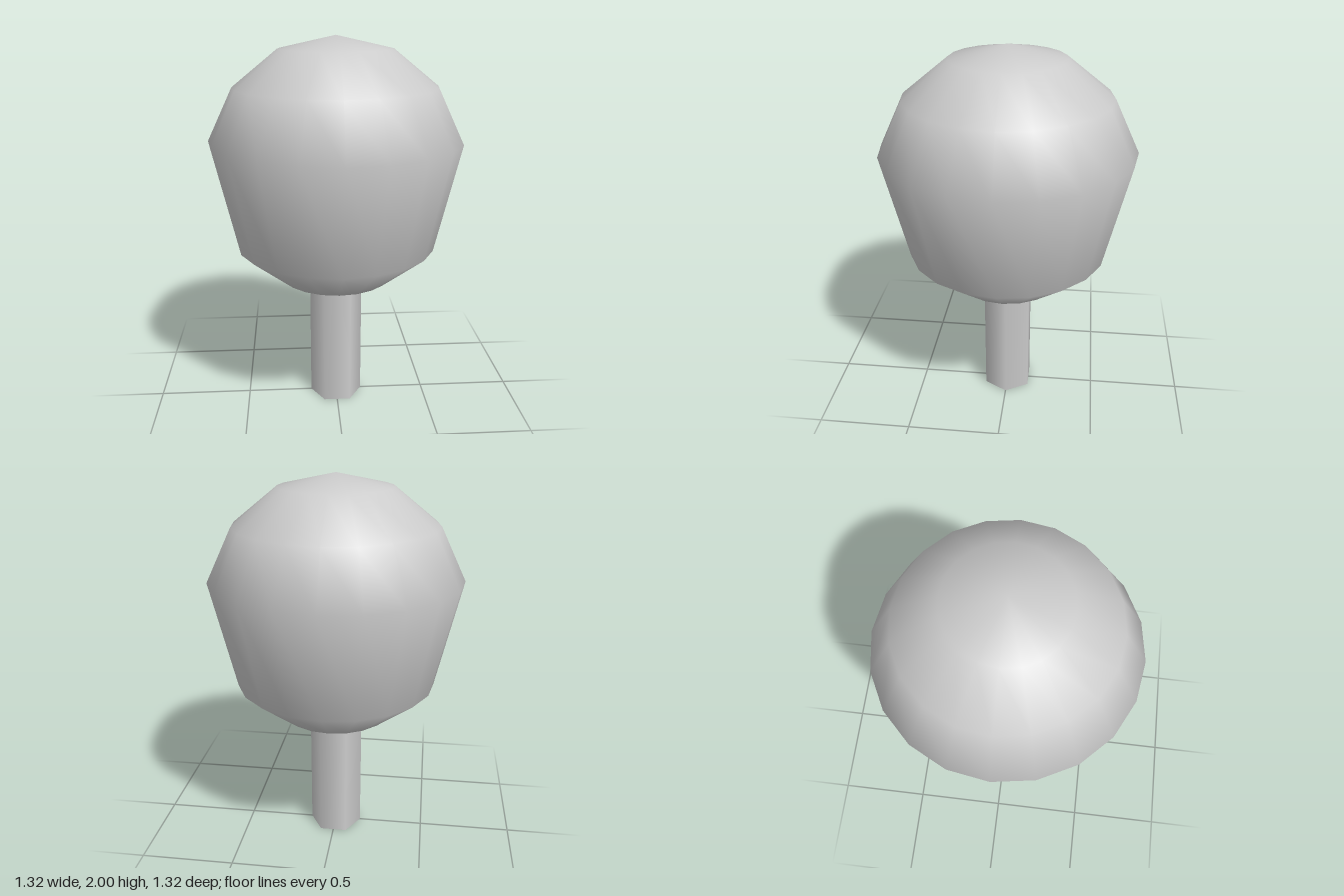
import * as THREE from 'three';
import { mergeVertices } from 'three/addons/utils/BufferGeometryUtils.js';

export function createModel() {
  const tree = new THREE.Group();
  tree.name = 'tree';
  const material = new THREE.MeshStandardMaterial({ color: 0xcccccc });

  // Six-sided trunk with corners on the x axis, ending inside the crown
  const trunk = new THREE.Mesh(new THREE.CylinderGeometry(0.143, 0.143, 0.76, 6), material);
  trunk.name = 'trunk';
  trunk.rotation.y = Math.PI / 6;
  trunk.position.y = 0.38;
  tree.add(trunk);

  // Rounded crown, widest above the middle and tapering below
  const profile = [
    [0, 0.64], [0.295, 0.713], [0.53, 0.9], [0.662, 1.472],
    [0.53, 1.745], [0.295, 1.934], [0, 2],
  ].map(([r, y]) => new THREE.Vector2(r, y));
  let crownGeometry = new THREE.LatheGeometry(profile, 20);

  // Weld the seam and poles so the shading is smooth all round
  crownGeometry.deleteAttribute('uv');
  crownGeometry.deleteAttribute('normal');
  crownGeometry = mergeVertices(crownGeometry, 1e-4);
  crownGeometry.computeVertexNormals();
  const crown = new THREE.Mesh(crownGeometry, material);
  crown.name = 'crown';
  tree.add(crown);

  return tree;
}
